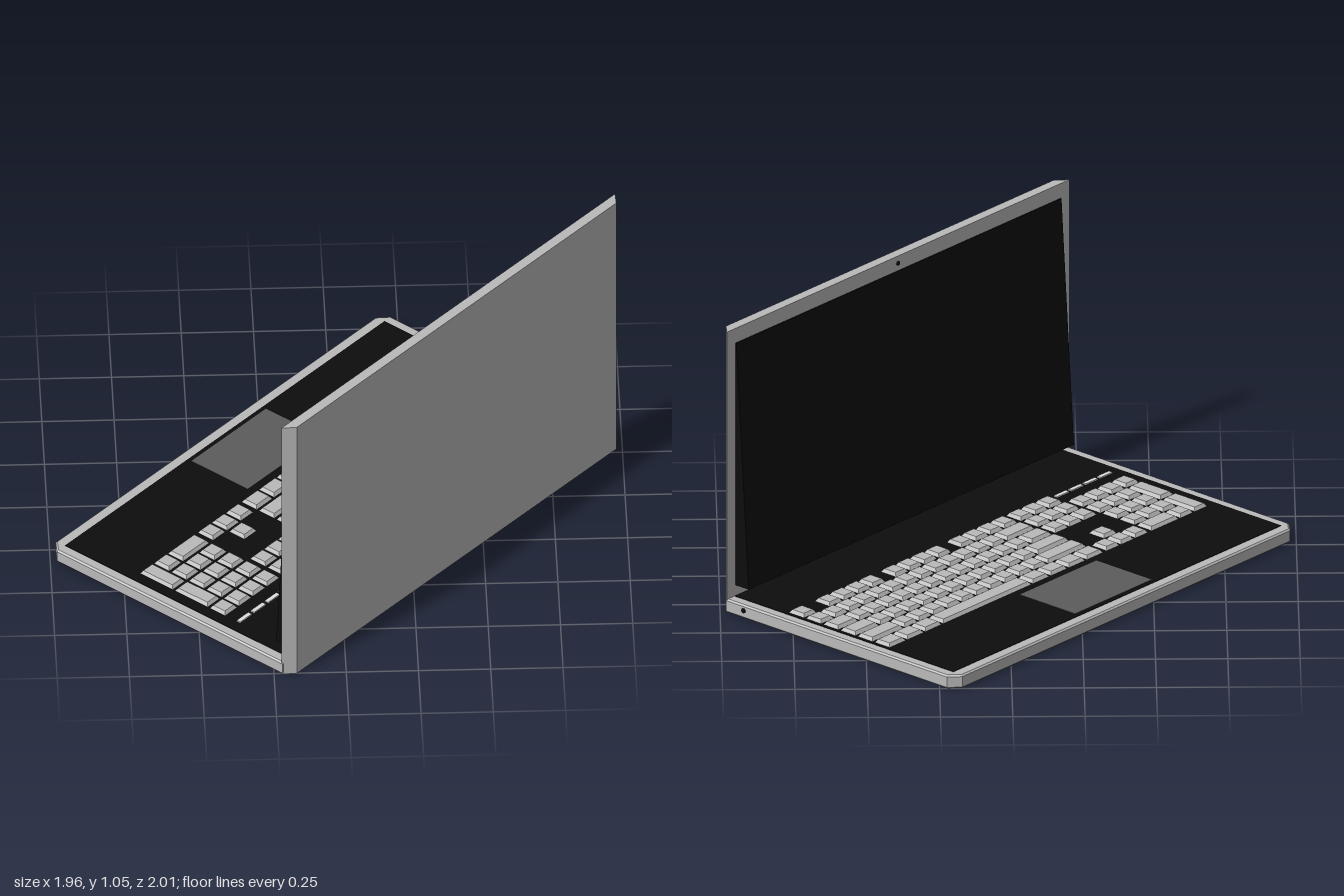
import * as THREE from 'three';

const mat = (name, color) => {
  const m = new THREE.MeshStandardMaterial({ color });
  m.name = name;
  return m;
};

export function createModel() {
  const silver = mat('silver', 0xbababa);
  const black = mat('black', 0x0d0d0d);
  const padGrey = mat('touchpad grey', 0x5c5c5c);
  const white = mat('indicator white', 0xdedede);

  const laptop = new THREE.Group();
  laptop.name = 'laptop';

  const add = (parent, name, geometry, material, x = 0, y = 0, z = 0) => {
    const mesh = new THREE.Mesh(geometry, material);
    mesh.name = name;
    mesh.position.set(x, y, z);
    parent.add(mesh);
  };

  // Upright prism from a plan outline of [x, z] points
  const prism = (plan, height, bevel = 0) => {
    const shape = new THREE.Shape(plan.map(([x, z]) => new THREE.Vector2(x, -z)));
    const g = new THREE.ExtrudeGeometry(shape, {
      depth: height - 2 * bevel, bevelEnabled: bevel > 0, bevelThickness: bevel,
      bevelSize: bevel, bevelOffset: -bevel, bevelSegments: 1,
    });
    return g.rotateX(-Math.PI / 2).translate(0, bevel, 0);
  };

  // Key with a flat top narrower than its foot
  const keyGeometry = (w, d) => {
    const h = 0.013, inset = 0.009;
    const g = new THREE.BoxGeometry(w, h, d).toNonIndexed();
    const p = g.attributes.position;
    for (let i = 0; i < p.count; i++) {
      if (p.getY(i) > 0) {
        p.setX(i, p.getX(i) - Math.sign(p.getX(i)) * inset);
        p.setZ(i, p.getZ(i) - Math.sign(p.getZ(i)) * inset);
      }
    }
    g.computeVertexNormals();
    return g;
  };

  const W = 0.895, D = 0.545, C = 0.038;

  // Base with cut front corners, and its dark top plate
  add(laptop, 'base', prism([
    [-W, 0.512], [W, 0.512], [W, -D + C], [W - C, -D], [-W + C, -D], [-W, -D + C],
  ], 0.051, 0.006), silver);
  add(laptop, 'keyboardPlate', new THREE.BoxGeometry(1.714, 0.004, 1.006), black, 0, 0.051, 0);
  add(laptop, 'touchpad', new THREE.BoxGeometry(0.4, 0.003, 0.255), padGrey, 0, 0.053, -0.358);

  // Audio socket on the side
  add(laptop, 'sideSocket', new THREE.CylinderGeometry(0.009, 0.009, 0.004, 12).rotateZ(Math.PI / 2),
    black, W + 0.001, 0.03, 0.43);

  // Lid with slanted side edges
  const lid = new THREE.Group();
  lid.name = 'lid';
  laptop.add(lid);
  add(lid, 'lidShell', prism([
    [-W, D - C], [W, D - C], [W - C, D], [-W + C, D],
  ], 1.055), silver);

  // Screen panel leaning forward at its foot
  const side = new THREE.Shape([[0.51, 1.0], [0.503, 1.0], [0.446, 0.09], [0.51, 0.09]]
    .map(([z, y]) => new THREE.Vector2(-z, y)));
  const screen = new THREE.ExtrudeGeometry(side, { depth: 1.7, bevelEnabled: false });
  add(lid, 'screen', screen.rotateY(Math.PI / 2), black, -0.85);
  add(lid, 'camera', new THREE.CylinderGeometry(0.008, 0.008, 0.004, 12).rotateX(Math.PI / 2),
    black, 0, 1.028, D - C - 0.001);

  // Keyboard: the typist's right is -x, rows run away from the typist
  const keyboard = new THREE.Group();
  keyboard.name = 'keyboard';
  laptop.add(keyboard);
  const U = 0.075, ROW = 0.079, GAP = 0.009;
  const rowZ = (r) => -0.165 + r * ROW;
  const key = (start, row, w = 1, rows = 1) => add(keyboard, 'key',
    keyGeometry(w * U - GAP, rows * ROW - GAP), silver,
    -(start + w * U / 2), 0.0585, rowZ(row + (rows - 1) / 2));

  // Main block, widths in key units from the near row to the far row
  const ones = (n) => Array(n).fill(1);
  const mainRows = [
    [1.25, 1.25, 1.25, 6.25, 1.25, 1.25, 1.25, 1.25],
    [2.25, ...ones(10), 2.75],
    [1.75, ...ones(11), 2.25],
    [1.5, ...ones(12), 1.5],
    [...ones(13), 2],
  ];
  mainRows.forEach((row, r) => {
    let a = -0.85;
    for (const w of row) {
      key(a, r, w);
      a += w * U;
    }
  });

  // Top row: one single key, then three groups of four
  key(-0.85, 5);
  for (let g = 0; g < 3; g++) {
    for (let i = 0; i < 4; i++) key(-0.715 + g * 0.345 + i * U, 5);
  }

  // Navigation block and arrows
  const NAV = 0.285;
  for (let i = 0; i < 3; i++) {
    for (const r of [0, 3, 4, 5]) key(NAV + i * U, r);
  }
  key(NAV + U, 1);

  // Number pad, with indicator strips behind it
  const PAD = 0.52;
  key(PAD, 0, 2);
  key(PAD + 2 * U, 0);
  for (let r = 1; r < 5; r++) {
    for (let i = 0; i < 3; i++) key(PAD + i * U, r);
  }
  key(PAD + 3 * U, 0, 1, 2);
  key(PAD + 3 * U, 2, 1, 2);
  key(PAD + 3 * U, 4);
  for (let i = 0; i < 4; i++) {
    add(keyboard, 'indicator', new THREE.BoxGeometry(0.062, 0.006, 0.016), white,
      -(PAD + (i + 0.5) * U), 0.055, 0.245);
  }

  // The laptop stands turned on its vertical axis
  laptop.rotation.y = 0.835;
  const model = new THREE.Group();
  model.name = 'model';
  model.add(laptop);
  return model;
}
